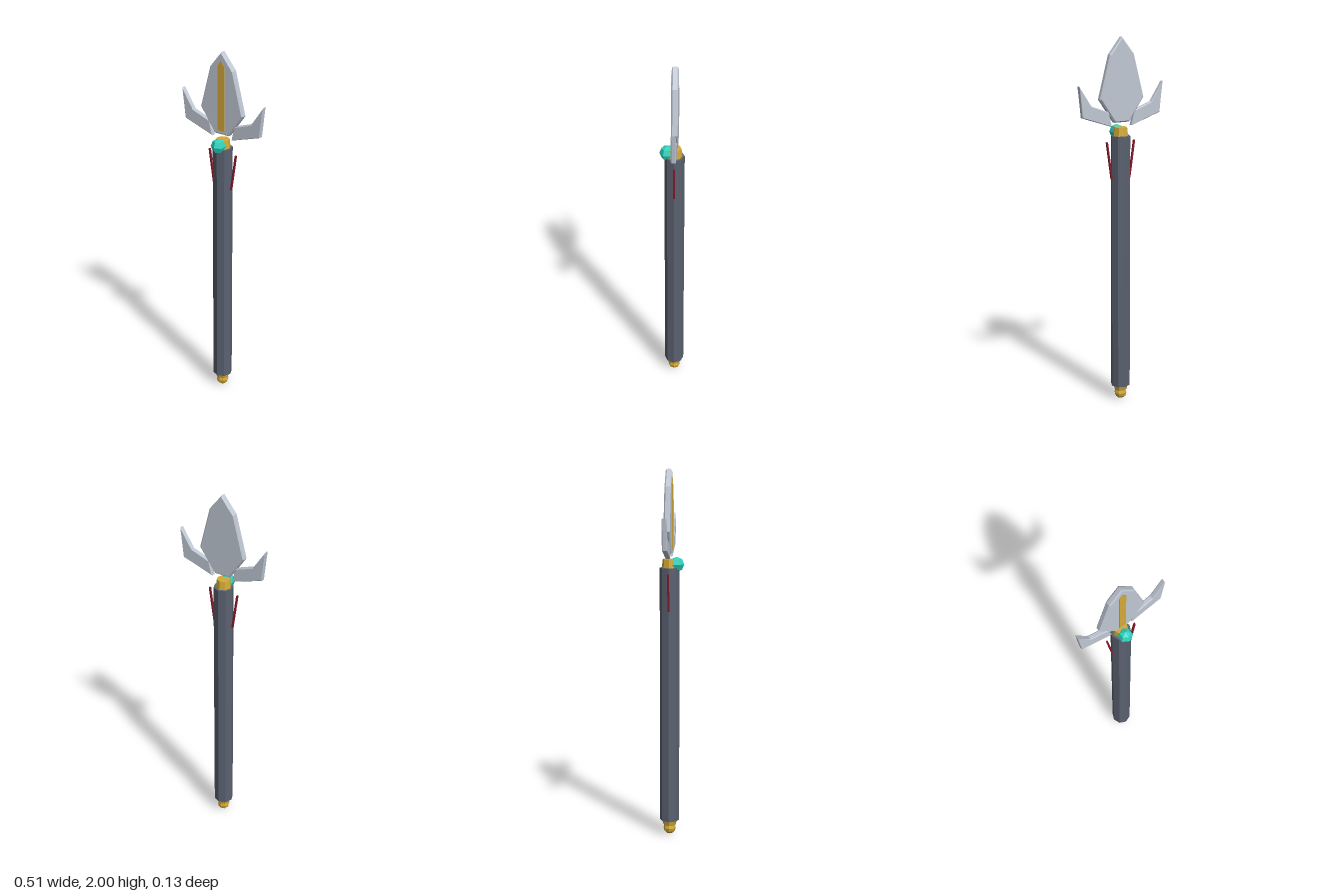
import * as THREE from 'three';

export function createModel() {
  const group = new THREE.Group();
  const mat = (name, color) => {
    const m = new THREE.MeshStandardMaterial({ color });
    m.name = name;
    return m;
  };
  const iron = mat('dark iron', 0x5a6170);
  const steel = mat('pale steel', 0xc0c8d4);
  const gold = mat('gold', 0xd4a937);
  const teal = mat('teal gem', 0x2dd4bf);
  const red = mat('dark red', 0x8b1a2a);
  const axisZ = -0.014;

  // Faceted meshes: unshared vertices give hard edges
  const add = (name, geometry, material, x, y, z) => {
    const g = geometry.index ? geometry.toNonIndexed() : geometry;
    g.computeVertexNormals();
    const mesh = new THREE.Mesh(g, material);
    mesh.name = name;
    mesh.position.set(x, y, z);
    group.add(mesh);
    return mesh;
  };

  // Bevelled plate, centred in depth; the outline includes the bevel
  const plate = (points, depth, bevel) => {
    const shape = new THREE.Shape(points.map(([x, y]) => new THREE.Vector2(x, y)));
    const g = new THREE.ExtrudeGeometry(shape, {
      depth: depth - 2 * bevel, bevelEnabled: bevel > 0, bevelSize: bevel,
      bevelThickness: bevel, bevelOffset: -bevel, bevelSegments: 1,
    });
    return g.translate(0, 0, bevel - depth / 2);
  };

  // Shaft with its collar and pommel
  add('shaft', new THREE.CylinderGeometry(0.053, 0.053, 1.4, 8), iron, 0, 0.78, axisZ);
  add('collar', new THREE.CylinderGeometry(0.036, 0.042, 0.05, 8), gold, 0, 1.501, axisZ);
  add('pommelRing', new THREE.CylinderGeometry(0.042, 0.034, 0.03, 8), gold, 0, 0.067, axisZ);
  add('pommel', new THREE.SphereGeometry(0.034, 8, 6), gold, 0, 0.034, axisZ);

  // Gem on the front of the collar
  const gem = new THREE.SphereGeometry(0.04, 6, 4).rotateY(Math.PI / 2);
  add('gem', gem, teal, 0, 1.498, 0.025);

  // Leaf-shaped blade with a gold inlay on its front
  const half = [[0.045, 1.553], [0.134, 1.68], [0.073, 1.91]];
  const mirrored = half.map(([x, y]) => [-x, y]).reverse();
  add('blade', plate([...half, [0, 2], ...mirrored], 0.034, 0.007), steel, 0, 0, -0.017);
  const inlay = [[-0.02, 1.575], [0.02, 1.575], [0.02, 1.925], [0, 1.955], [-0.02, 1.925]];
  add('bladeInlay', plate(inlay, 0.004, 0), gold, 0, 0, 0.001);

  // Side prongs and red tassels, mirrored
  const prong = [[0.06, 1.532], [0.238, 1.59], [0.256, 1.756], [0.185, 1.65], [0.08, 1.612]];
  for (const side of [1, -1]) {
    const outline = prong.map(([x, y]) => [side * x, y]);
    const label = side > 0 ? 'left' : 'right';
    add(label + 'Prong', plate(outline, 0.026, 0.004), steel, 0, 0, -0.017);
    const tassel = add(label + 'Tassel', new THREE.BoxGeometry(0.009, 0.203, 0.01), red,
      side * 0.07, 1.35, axisZ);
    tassel.rotation.z = -side * 0.145;
  }
  return group;
}
